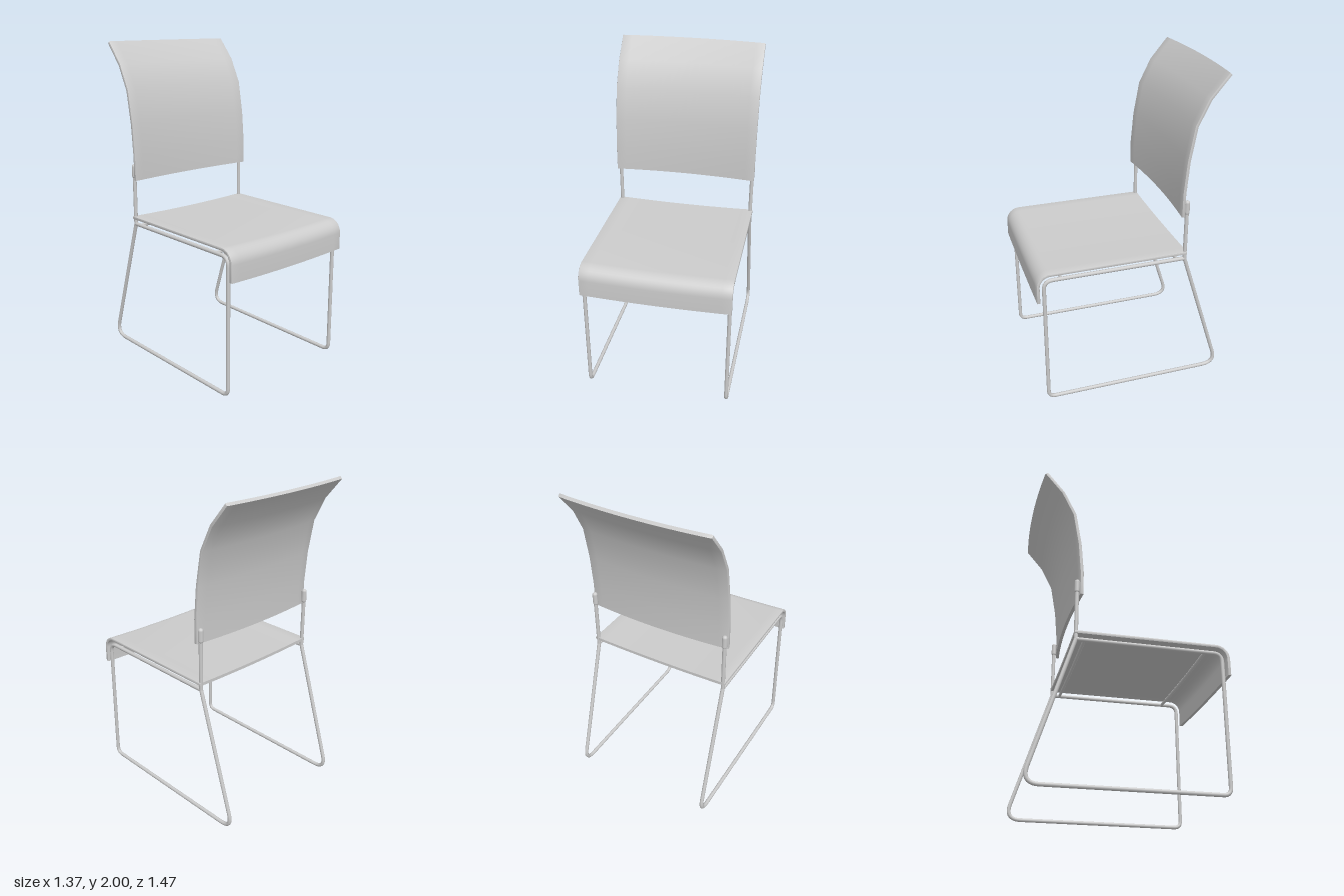
import * as THREE from 'three';
import { toCreasedNormals } from 'three/addons/utils/BufferGeometryUtils.js';

const material = new THREE.MeshStandardMaterial({ color: 0xcccccc });
const HALF_WIDTH = 0.464; // half width of seat and backrest
const RAIL_X = 0.447;     // side frame distance from the middle
const TUBE = 0.012;       // tube radius
const POST_Z = -0.335;

function part(name, geometry) {
  const mesh = new THREE.Mesh(geometry, material);
  mesh.name = name;
  return mesh;
}

// Bent sheet: a side profile [z, y] given thickness, swept across x and bowed in the middle
function bentPanel(profile, thickness, bowAxis, bow) {
  const pts = profile.map(([z, y]) => new THREE.Vector2(z, y));
  const offset = pts.map((p, i) => {
    const a = pts[Math.max(i - 1, 0)];
    const b = pts[Math.min(i + 1, pts.length - 1)];
    const d = b.clone().sub(a).normalize();
    return new THREE.Vector2(p.x + d.y * thickness, p.y - d.x * thickness);
  });
  const bevel = 0.005;
  const depth = 2 * (HALF_WIDTH - bevel);
  const geo = new THREE.ExtrudeGeometry(new THREE.Shape([...pts, ...offset.reverse()]), {
    depth, steps: 16, bevelThickness: bevel, bevelSize: bevel, bevelOffset: -bevel, bevelSegments: 2,
  });
  geo.translate(0, 0, -depth / 2);
  geo.rotateY(-Math.PI / 2); // profile z to model z, sweep along x
  const pos = geo.attributes.position;
  for (let i = 0; i < pos.count; i++) {
    const drop = bow * (1 - (pos.getX(i) / HALF_WIDTH) ** 2);
    if (bowAxis === 'y') pos.setY(i, pos.getY(i) - drop);
    else pos.setZ(i, pos.getZ(i) - drop);
    // sweep runs along -x after the turn, so z equals the profile's first value
  }
  return toCreasedNormals(geo, 0.6);
}

// Path through [z, y, bend length] corners with rounded bends
function roundedPath(corners, x) {
  const path = new THREE.CurvePath();
  const v = corners.map(([z, y]) => new THREE.Vector3(x, y, z));
  let from = v[0];
  for (let i = 1; i < v.length - 1; i++) {
    const r = corners[i][2];
    const a = v[i].clone().add(v[i - 1].clone().sub(v[i]).setLength(r));
    const b = v[i].clone().add(v[i + 1].clone().sub(v[i]).setLength(r));
    path.add(new THREE.LineCurve3(from, a));
    path.add(new THREE.QuadraticBezierCurve3(a, v[i], b));
    from = b;
  }
  path.add(new THREE.LineCurve3(from, v[v.length - 1]));
  return path;
}

function sideFrame(side) {
  const frame = new THREE.Group();
  frame.name = side > 0 ? 'leftFrame' : 'rightFrame';
  const x = side * RAIL_X;
  // Seat rail, front leg, floor runner and slanted rear leg in one tube
  const loop = roundedPath([
    [POST_Z, 0.861], [0.545, 0.861, 0.055], [0.545, TUBE, 0.045],
    [-0.602, TUBE, 0.1], [POST_Z, 0.861],
  ], x);
  frame.add(part('sledLeg', new THREE.TubeGeometry(loop, 240, TUBE, 10)));
  // Joint where rail, rear leg and post meet
  const joint = part('joint', new THREE.SphereGeometry(TUBE, 12, 8));
  joint.position.set(x, 0.861, POST_Z);
  // Post carrying the backrest, with a rounded sleeve at its end
  const post = part('backPost', new THREE.CylinderGeometry(TUBE, TUBE, 0.34, 12));
  post.position.set(x, 1.031, POST_Z);
  const sleeve = part('postSleeve', new THREE.CapsuleGeometry(0.016, 0.06, 6, 12));
  sleeve.position.set(x, 1.205, POST_Z);
  frame.add(joint, post, sleeve);
  return frame;
}

export function createModel() {
  const model = new THREE.Group();
  model.name = 'chair';
  const chair = new THREE.Group();
  chair.name = 'chairBody';
  chair.position.x = -0.004;
  model.add(chair);

  // Seat with rolled front lip
  const seatProfile = [[-0.345, 0.893], [0.1, 0.893]];
  for (let i = 0; i <= 8; i++) {
    const a = (i / 8) * Math.PI / 2;
    seatProfile.push([0.506 + 0.066 * Math.sin(a), 0.827 + 0.066 * Math.cos(a)]);
  }
  seatProfile.push([0.572, 0.722]);
  chair.add(part('seat', bentPanel(seatProfile, -0.019, 'y', 0.009).clone()));

  // Backrest curving rearward at the top
  const backProfile = [
    [-0.298, 1.15], [-0.299, 1.3], [-0.316, 1.5], [-0.353, 1.71], [-0.43, 1.865], [-0.542, 1.998],
  ];
  chair.add(part('backrest', bentPanel(backProfile, -0.02, 'z', 0.025)));

  for (const side of [1, -1]) chair.add(sideFrame(side));

  // Cross bars under the seat, sagging with it
  for (const z of [-0.285, 0.44]) {
    const curve = new THREE.QuadraticBezierCurve3(
      new THREE.Vector3(-RAIL_X, 0.863, z), new THREE.Vector3(0, 0.845, z), new THREE.Vector3(RAIL_X, 0.863, z));
    chair.add(part('crossBar', new THREE.TubeGeometry(curve, 16, 0.01, 8)));
  }

  // The chair stands turned toward its left
  model.rotation.y = 0.495;
  return model;
}
